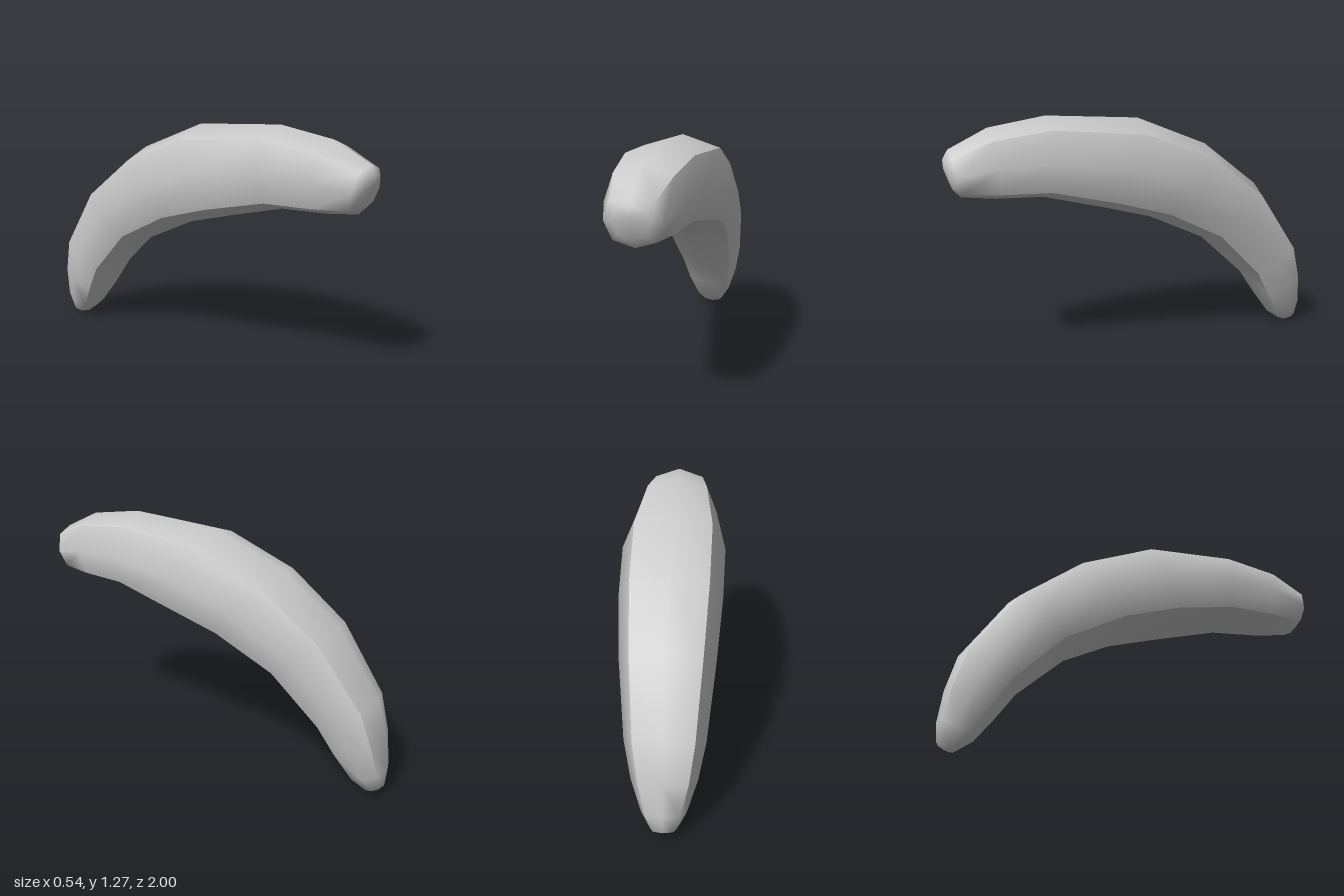
import * as THREE from 'three';

// Cross-sections from front tip to back tip:
// [top z, top y, bottom z, bottom y, half width]
const RINGS = [
  [1.0, 1.04, 1.0, 1.04, 0],
  [0.998, 1.09, 0.963, 0.935, 0.085],
  [0.975, 1.13, 0.925, 0.892, 0.13],
  [0.78, 1.225, 0.75, 0.87, 0.185],
  [0.49, 1.27, 0.51, 0.86, 0.222],
  [0.0, 1.237, 0.2, 0.78, 0.27],
  [-0.39, 1.08, -0.07, 0.705, 0.26],
  [-0.7, 0.84, -0.38, 0.56, 0.232],
  [-0.93, 0.5, -0.63, 0.33, 0.193],
  [-0.98, 0.31, -0.725, 0.19, 0.158],
  [-1.0, 0.14, -0.82, 0.063, 0.107],
  [-0.99, 0.045, -0.895, 0.01, 0.062],
  [-0.93, 0.002, -0.93, 0.002, 0],
];

// Eight-sided section, clockwise from the upper left shoulder
const S = 0.74;
const SECTION = [[-S, S], [0, 1], [S, S], [1, 0], [S, -S], [0, -1], [-S, -S], [-1, 0]];

// Four panels of three columns each; shoulder columns are doubled to keep them sharp
const COLUMNS = [0, 1, 2, 2, 3, 4, 4, 5, 6, 6, 7, 0];

function bodyGeometry() {
  const positions = [], index = [];
  const n = COLUMNS.length, last = RINGS.length - 1;
  RINGS.forEach(([tz, ty, bz, by, w], i) => {
    for (const c of COLUMNS) {
      const [u, v] = SECTION[c];
      positions.push(u * w, (ty + by) / 2 + v * (ty - by) / 2, (tz + bz) / 2 + v * (tz - bz) / 2);
    }
    if (i === last) return;
    for (let j = 0; j < n - 1; j++) {
      if (j % 3 === 2) continue;
      const a = i * n + j, b = a + 1, c = a + n, d = c + 1;
      if (i > 0) index.push(a, b, c);
      else index.push(b, d, c);
      if (i > 0 && i < last - 1) index.push(b, d, c);
    }
  });
  const geo = new THREE.BufferGeometry();
  geo.setAttribute('position', new THREE.Float32BufferAttribute(positions, 3));
  geo.setIndex(index);
  geo.computeVertexNormals();

  // Blend the doubled normals at both rounded tips
  const normal = geo.attributes.normal, v = new THREE.Vector3();
  const blend = (ids) => {
    const sum = new THREE.Vector3();
    ids.forEach((k) => sum.add(v.fromBufferAttribute(normal, k)));
    sum.normalize();
    ids.forEach((k) => normal.setXYZ(k, sum.x, sum.y, sum.z));
  };
  for (const i of [1, 2, last - 2, last - 1]) {
    for (const [a, b] of [[2, 3], [5, 6], [8, 9], [11, 0]]) blend([i * n + a, i * n + b]);
  }
  for (const i of [0, last]) blend(COLUMNS.map((_, j) => i * n + j));
  return geo;
}

export function createModel() {
  const group = new THREE.Group();
  group.name = 'curvedFruit';
  const grey = new THREE.MeshStandardMaterial({ color: 0xcccccc });
  grey.name = 'light grey';
  const body = new THREE.Mesh(bodyGeometry(), grey);
  body.name = 'body';
  group.add(body);
  return group;
}
